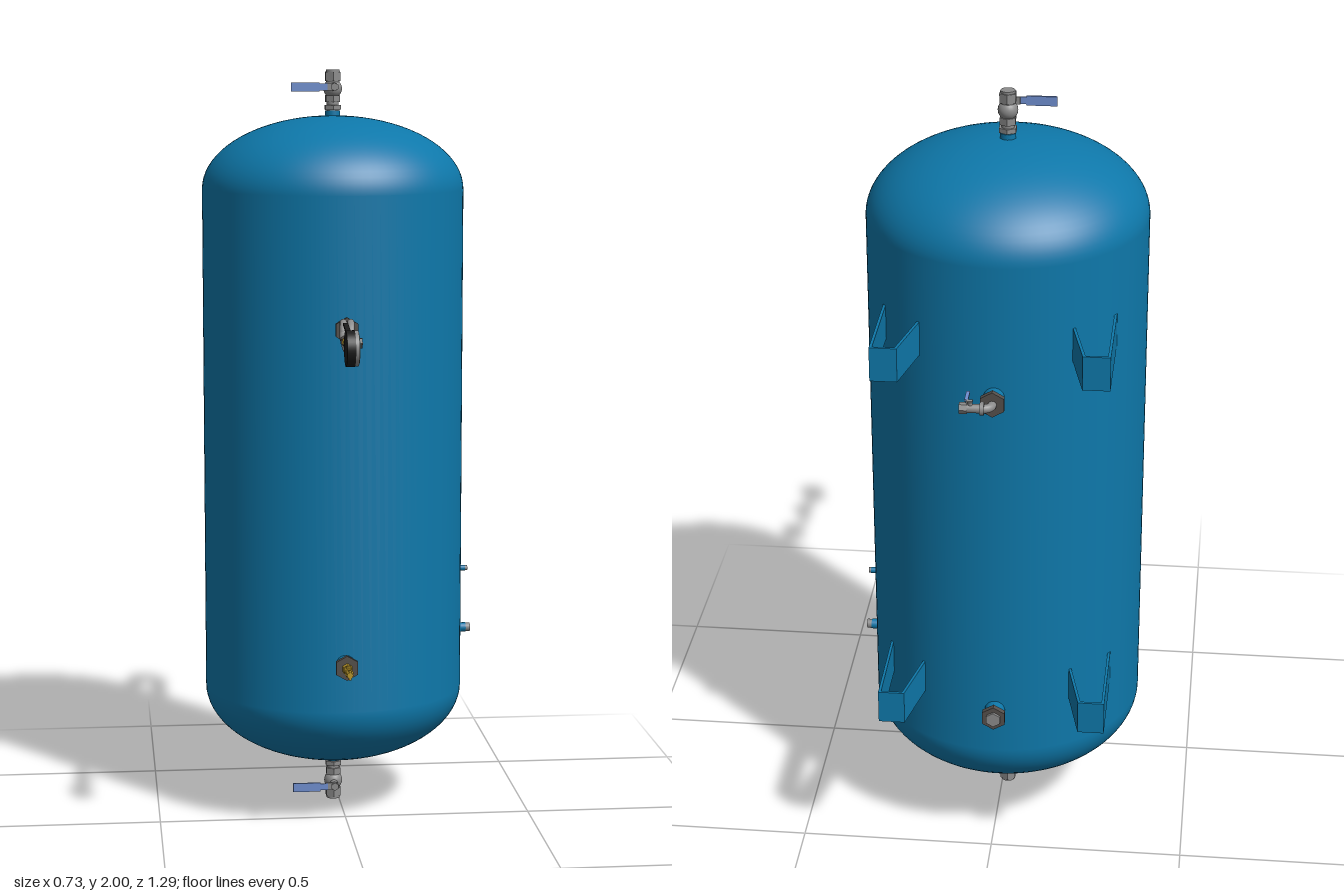
import * as THREE from 'three';

const CX = -0.015, CZ = -0.19, R = 0.35;
const mat = (color, side = THREE.FrontSide) => new THREE.MeshStandardMaterial({ color, side });
const BLUE = mat(0x0e78aa), STEEL = mat(0x8c8c8c), BRASS = mat(0xb8962a), BLACK = mat(0x1c1c1c);
const GRIP = mat(0x6f8fd0), GLASS = mat(0x8fdcdc), DARK = mat(0x55504c);
const V = (x, y, z) => new THREE.Vector3(x, y, z);

function add(parent, name, geometry, material) {
  const mesh = new THREE.Mesh(geometry, material);
  mesh.name = name;
  parent.add(mesh);
  return mesh;
}

// Round or six-sided bar between two points
function rod(parent, name, r, a, b, material, sides = 24, r2 = r) {
  const from = V(...a), to = V(...b), dir = to.clone().sub(from);
  const geo = new THREE.CylinderGeometry(r2, r, dir.length(), sides);
  const mesh = add(parent, name, sides === 6 ? geo.toNonIndexed() : geo, material);
  if (sides === 6) mesh.geometry.computeVertexNormals();
  mesh.position.copy(from).add(to).multiplyScalar(0.5);
  mesh.quaternion.setFromUnitVectors(V(0, 1, 0), dir.normalize());
  return mesh;
}

function box(parent, name, size, pos, material) {
  const mesh = add(parent, name, new THREE.BoxGeometry(...size), material);
  mesh.position.set(...pos);
  return mesh;
}

function group(parent, name, x = 0, y = 0, z = 0) {
  const g = new THREE.Group();
  g.name = name;
  g.position.set(x, y, z);
  parent.add(g);
  return g;
}

// Cylindrical shell with elliptical heads
function buildTank(root) {
  const pts = [], n = 20;
  for (let i = 0; i <= n; i++) {
    const t = (i / n) * Math.PI / 2;
    pts.push(new THREE.Vector2(R * Math.sin(t), 0.33 - 0.203 * Math.cos(t)));
  }
  for (let i = 0; i <= n; i++) {
    const t = (i / n) * Math.PI / 2;
    pts.push(new THREE.Vector2(R * Math.cos(t), 1.685 + 0.195 * Math.sin(t)));
  }
  pts[0].x = pts[pts.length - 1].x = 0;
  add(root, 'tankShell', new THREE.LatheGeometry(pts, 96), BLUE).position.set(CX, 0, CZ);
}

// Tapered channel bracket, mirrored about the tank's centre line
function buildBracket(root, y, side) {
  const outline = [[0.285, -0.385], [0.285, -0.64], [0.219, -0.64], [0.182, -0.475],
    [0.189, -0.475], [0.225, -0.633], [0.278, -0.633], [0.278, -0.385]];
  const shape = new THREE.Shape(outline.map(([x, z]) => new THREE.Vector2(side * x, -z)));
  const geo = new THREE.ExtrudeGeometry(shape, { depth: 0.087, bevelEnabled: false });
  geo.rotateX(-Math.PI / 2);
  add(root, 'wallBracket', geo, BLUE).position.set(CX, y, 0);
}

// Ball valve on the tank's axis; dir is +1 for the top and -1 for the bottom
function buildAxisValve(root, name, y, dir) {
  const g = group(root, name, CX, y, CZ);
  const seg = (part, r, a, b, m = STEEL, sides = 24) => rod(g, part, r, [0, dir * a, 0], [0, dir * b, 0], m, sides);
  seg('neck', 0.02, -0.02, 0.02, BLUE);
  seg('threadedNipple', 0.016, 0.015, 0.045);
  seg('lowerNut', 0.024, 0.022, 0.034, STEEL, 6);
  seg('valveEnd', 0.022, 0.042, 0.06, STEEL, 6);
  seg('upperEnd', 0.023, 0.098, 0.122, STEEL, 6);
  seg('outletEnd', 0.018, 0.09, 0.128);
  const ball = add(g, 'valveBody', new THREE.SphereGeometry(0.025, 24, 16), STEEL);
  ball.position.y = dir * 0.078;
  rod(g, 'stem', 0.011, [0, dir * 0.083, 0.01], [0, dir * 0.083, 0.045], STEEL);
  rod(g, 'stemNut', 0.011, [0, dir * 0.083, 0.045], [0, dir * 0.083, 0.058], STEEL, 6);
  const h = dir * 0.083;
  box(g, 'handleRoot', [0.03, 0.02, 0.004], [-0.01, h, 0.051], STEEL);
  box(g, 'handleBend', [0.026, 0.018, 0.004], [-0.032, h, 0.053], GRIP);
  box(g, 'handleGrip', [0.075, 0.024, 0.006], [-0.078, h, 0.054], GRIP);
}

// Blue nozzle with a hex collar, pointing to the front (+1) or back (-1)
function buildNozzle(root, name, y, dir) {
  const g = group(root, name, CX, y, CZ);
  rod(g, 'nozzlePipe', 0.026, [0, 0, dir * 0.33], [0, 0, dir * 0.382], BLUE);
  rod(g, 'hexCollar', 0.033, [0, 0, dir * 0.376], [0, 0, dir * 0.391], DARK, 6);
  return g;
}

// Front gauge line with siphon coil, cock and dial
function buildGauge(root) {
  const y = 1.345, g = group(root, 'gaugeLine', 0, y, 0), gx = -0.043;
  rod(g, 'reducer', 0.015, [CX, 0, 0.2], [CX, 0, 0.235], STEEL, 6);
  const path = [V(CX, 0, 0.2), V(CX, 0, 0.25), V(CX, 0, 0.288)];
  for (let i = 1; i <= 34; i++) {
    const t = i / 35, a = Math.PI + t * Math.PI * 3;
    path.push(V(CX + (gx - CX) * t, -0.034 * Math.sin(a), 0.335 + 0.034 * Math.cos(a)));
  }
  path.push(V(gx, 0, 0.382), V(gx, 0, 0.41), V(gx, 0, 0.44));
  add(g, 'siphonPipe', new THREE.TubeGeometry(new THREE.CatmullRomCurve3(path), 200, 0.0095, 12), STEEL);
  const seg = (part, r, a, b, m, sides) => rod(g, part, r, [gx, 0, a], [gx, 0, b], m, sides);
  seg('blackCoupling', 0.014, 0.428, 0.468, DARK, 6);
  seg('cockBody', 0.012, 0.468, 0.505, BRASS);
  seg('gaugeNut', 0.014, 0.503, 0.532, DARK, 6);
  seg('gaugeStem', 0.009, 0.53, 0.57, BRASS);
  rod(g, 'testPort', 0.009, [gx, 0, 0.487], [-0.022, 0, 0.487], BRASS);
  rod(g, 'testPortCap', 0.014, [-0.025, 0, 0.487], [-0.007, 0, 0.487], DARK, 6);
  rod(g, 'cockStem', 0.006, [gx, 0, 0.485], [gx, 0.032, 0.485], BRASS);
  const lever = box(g, 'cockLever', [0.012, 0.007, 0.058], [gx, 0.035, 0.468], BLACK);
  lever.rotation.x = 0.2;
  // Dial facing the model's left
  rod(g, 'gaugeCase', 0.044, [-0.059, 0, 0.602], [-0.038, 0, 0.602], BLACK, 40);
  rod(g, 'gaugeBezel', 0.043, [-0.038, 0, 0.602], [-0.029, 0, 0.602], STEEL, 40);
  rod(g, 'gaugeGlass', 0.039, [-0.03, 0, 0.602], [-0.0275, 0, 0.602], GLASS, 40);
}

// Small brass drain cock at the front
function buildDrain(root) {
  const g = group(root, 'drainCock', CX, 0.46, 0);
  rod(g, 'inlet', 0.014, [0, 0, 0.195], [0, 0, 0.22], BRASS, 6);
  rod(g, 'body', 0.011, [0, 0, 0.215], [0, 0, 0.25], BRASS);
  rod(g, 'outlet', 0.008, [0, 0, 0.25], [0, 0, 0.278], BRASS);
  rod(g, 'plug', 0.006, [0, -0.014, 0.235], [0, 0.016, 0.235], BRASS);
  box(g, 'key', [0.006, 0.026, 0.006], [0, 0, 0.272], BRASS);
}

// Elbow and small valve at the back
function buildBackValve(root) {
  const g = group(root, 'backValve', 0, 1.348, 0);
  const bend = new THREE.QuadraticBezierCurve3(V(CX, 0, -0.578), V(CX, 0, -0.603), V(0.012, 0, -0.603));
  add(g, 'elbow', new THREE.TubeGeometry(bend, 16, 0.011, 16), STEEL);
  rod(g, 'elbowCollar', 0.016, [0.002, 0, -0.602], [0.012, 0, -0.602], STEEL);
  rod(g, 'valveBody', 0.011, [0.01, 0, -0.602], [0.045, 0, -0.602], STEEL);
  rod(g, 'valveOutlet', 0.014, [0.043, 0, -0.602], [0.062, 0, -0.602], STEEL, 6);
  rod(g, 'stem', 0.006, [0.035, 0, -0.602], [0.035, 0.017, -0.602], STEEL);
  box(g, 'handleLink', [0.016, 0.004, 0.012], [0.038, 0.016, -0.596], STEEL);
  box(g, 'handle', [0.009, 0.006, 0.046], [0.046, 0.015, -0.569], GRIP);
}

export function createModel() {
  const root = new THREE.Group();
  root.name = 'pressureTank';
  buildTank(root);
  for (const y of [0.467, 1.428]) for (const side of [-1, 1]) buildBracket(root, y, side);
  buildAxisValve(root, 'topValve', 1.873, 1);
  buildAxisValve(root, 'bottomValve', 0.128, -1);

  buildNozzle(root, 'gaugeNozzle', 1.345, 1);
  buildNozzle(root, 'drainNozzle', 0.46, 1);
  buildNozzle(root, 'backValveNozzle', 1.348, -1);
  const plugged = buildNozzle(root, 'pluggedNozzle', 0.453, -1);
  rod(plugged, 'plug', 0.02, [0, 0, -0.385], [0, 0, -0.398], STEEL, 6);

  buildGauge(root);
  buildDrain(root);
  buildBackValve(root);

  // Sensor stubs on the left side
  rod(root, 'lowerStub', 0.013, [0.32, 0.475, CZ], [0.352, 0.475, CZ], BLUE);
  rod(root, 'lowerStubCap', 0.012, [0.35, 0.475, CZ], [0.364, 0.475, CZ], STEEL);
  rod(root, 'upperStub', 0.008, [0.32, 0.642, CZ], [0.35, 0.642, CZ], BLUE);
  rod(root, 'upperStubCap', 0.007, [0.349, 0.642, CZ], [0.356, 0.642, CZ], STEEL);
  return root;
}
